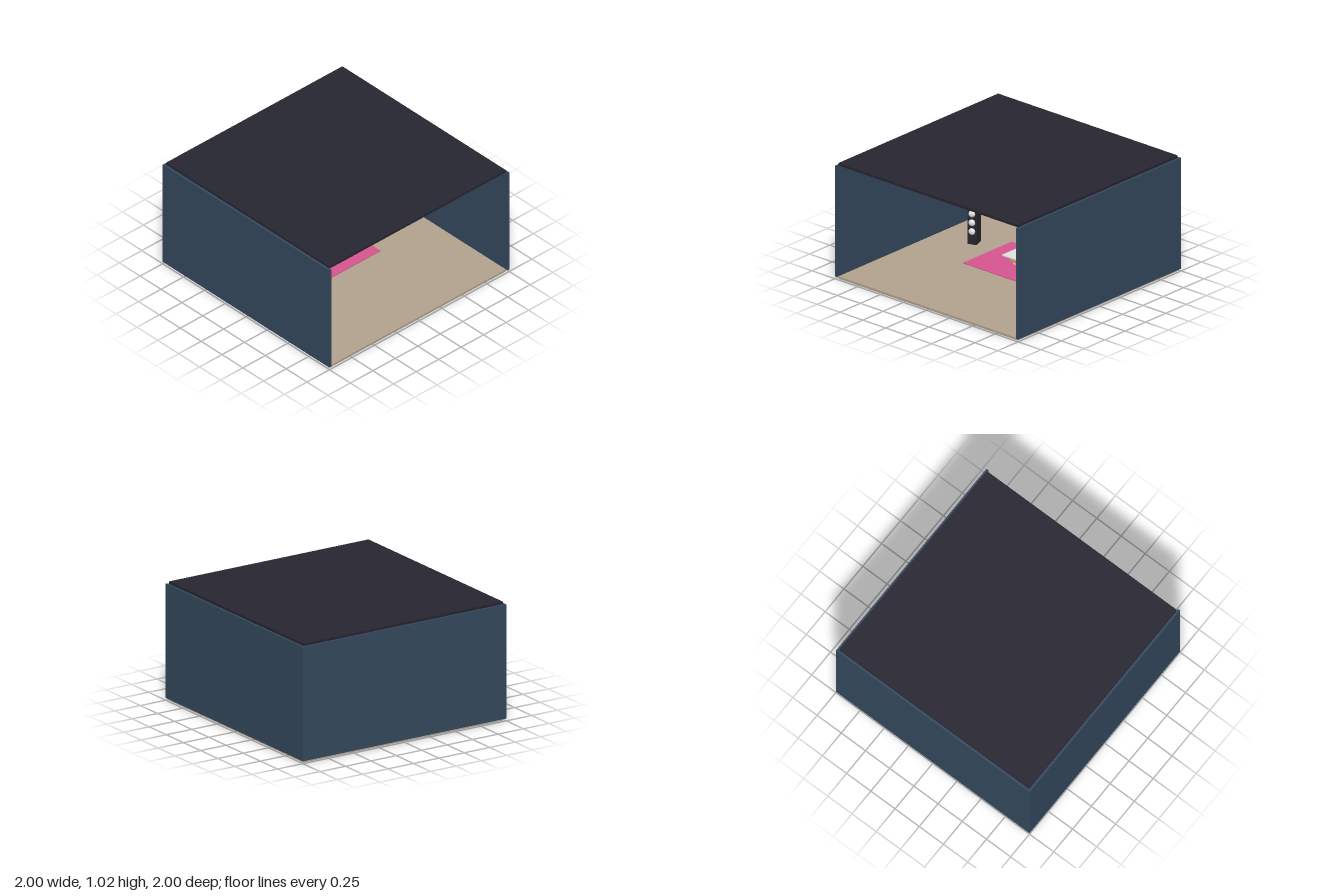
import * as THREE from 'three';
import { RoundedBoxGeometry } from 'three/addons/geometries/RoundedBoxGeometry.js';

const mat = (name, color) => {
  const m = new THREE.MeshStandardMaterial({ color });
  m.name = name;
  return m;
};

export function createModel() {
  const navy = mat('wall navy', 0x34495e);
  const dark = mat('charcoal', 0x272631);
  const sand = mat('floor sand', 0xb3a390);
  const pink = mat('rug pink', 0xd85691);
  const teal = mat('sofa teal', 0x308399);
  const white = mat('off white', 0xe0e2e3);
  const orange = mat('terracotta', 0xe4965a);
  const green = mat('leaf green', 0x57b75a);

  const room = new THREE.Group();
  room.name = 'room';

  const add = (parent, name, geometry, material, x, y, z) => {
    const mesh = new THREE.Mesh(geometry, material);
    mesh.name = name;
    mesh.position.set(x, y, z);
    parent.add(mesh);
    return mesh;
  };
  // Box given by its lower and upper corners, optionally with rounded edges
  const box = (parent, name, material, [x0, y0, z0], [x1, y1, z1], radius = 0) => {
    const size = [x1 - x0, y1 - y0, z1 - z0];
    const geometry = radius
      ? new RoundedBoxGeometry(...size, 4, radius)
      : new THREE.BoxGeometry(...size);
    return add(parent, name, geometry, material, (x0 + x1) / 2, (y0 + y1) / 2, (z0 + z1) / 2);
  };
  const group = (name) => {
    const g = new THREE.Group();
    g.name = name;
    room.add(g);
    return g;
  };

  // Shell, open at the front
  box(room, 'floor', sand, [-0.98, 0, -0.98], [0.98, 0.02, 0.98]);
  box(room, 'ceiling', dark, [-0.98, 1, -0.98], [0.98, 1.022, 0.98]);
  box(room, 'backWall', navy, [-0.98, 0.02, -1], [0.98, 1, -0.98]);
  box(room, 'rightWall', navy, [-1, 0.02, -1], [-0.98, 1, 1]);
  box(room, 'leftWall', navy, [0.98, 0.02, -1], [1, 1, 1]);

  // Rug
  box(room, 'rug', pink, [-0.4, 0.02, -0.49], [0.4, 0.027, 0.1]);

  // Wall picture
  const picture = group('picture');
  box(picture, 'pictureFrame', dark, [-0.295, 0.463, -0.98], [0.295, 0.758, -0.962]);
  box(picture, 'pictureCanvas', orange, [-0.285, 0.472, -0.964], [0.285, 0.749, -0.958]);

  // Sofa
  const sofa = group('sofa');
  box(sofa, 'sofaBase', white, [-0.35, 0.02, -0.86], [0.35, 0.1, -0.51]);
  box(sofa, 'sofaBack', teal, [-0.352, 0.1, -0.87], [0.352, 0.255, -0.75], 0.035);
  for (let i = -1; i <= 1; i++) {
    const x = i * 0.194;
    box(sofa, 'seatCushion', teal, [x - 0.096, 0.1, -0.77], [x + 0.096, 0.125, -0.515], 0.008);
  }
  for (const s of [-1, 1]) {
    const x = s * 0.322;
    box(sofa, 'sofaArm', teal, [x - 0.037, 0.1, -0.86], [x + 0.037, 0.217, -0.505], 0.01);
  }

  // Coffee table
  const table = group('coffeeTable');
  box(table, 'tableTop', white, [-0.147, 0.098, -0.26], [0.147, 0.108, -0.09]);
  box(table, 'tableNeck', white, [-0.07, 0.083, -0.2], [0.07, 0.099, -0.15]);
  box(table, 'tableBody', orange, [-0.1, 0.047, -0.215], [0.1, 0.085, -0.135]);
  box(table, 'tableFoot', white, [-0.08, 0.026, -0.2], [0.08, 0.048, -0.15]);

  // Pair of speakers turned towards the middle
  for (const s of [-1, 1]) {
    const speaker = group(s < 0 ? 'rightSpeaker' : 'leftSpeaker');
    speaker.position.set(s * 0.628, 0, -0.29);
    speaker.rotation.y = -s * 0.33;
    box(speaker, 'speakerCabinet', dark, [-0.04, 0.02, -0.048], [0.04, 0.378, 0.048]);
    for (const y of [0.14, 0.218, 0.296]) {
      const cone = new THREE.SphereGeometry(0.029, 24, 16);
      add(speaker, 'speakerCone', cone, white, -s * 0.006, y, 0.062).scale.z = 0.7;
    }
  }

  // Potted plant in the back corner
  const plant = group('pottedPlant');
  plant.position.set(-0.825, 0, -0.86);
  add(plant, 'pot', new THREE.CylinderGeometry(0.08, 0.08, 0.125, 32), orange, 0, 0.0825, 0);
  const leaves = [
    [-0.042, 0.222, 0.035, 0.073],
    [0.02, 0.218, 0, 0.085],
    [0.06, 0.236, -0.035, 0.076],
  ];
  for (const [x, y, z, r] of leaves) {
    add(plant, 'foliage', new THREE.SphereGeometry(r, 32, 20), green, x, y, z);
  }

  return room;
}
